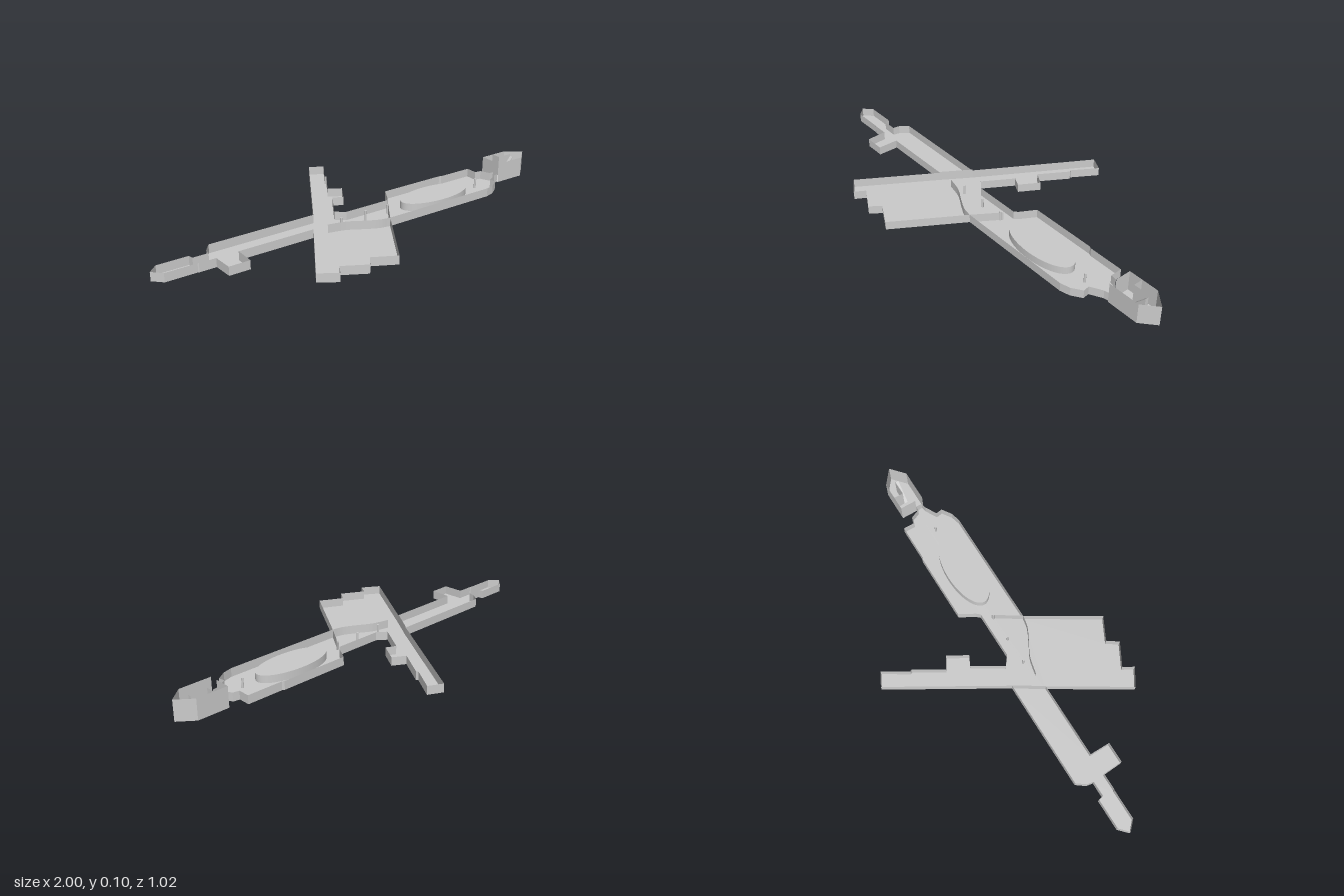
import * as THREE from 'three';

const FLOOR = 0.005, WALL = 0.045, HEAD = 0.1;
const sheet = new THREE.MeshStandardMaterial({ color: 0xcccccc, side: THREE.DoubleSide });
const solid = new THREE.MeshStandardMaterial({ color: 0xcccccc });

// Ground-plan outline: [x, z] corners, starting at the left tip, along the back.
const hull = [
  [-1, 0.065], [-0.96, 0.027], [-0.82, 0.027], [-0.815, 0.05], [-0.745, 0.05], [-0.74, 0.02],
  [-0.71, -0.02], [-0.205, -0.02],
  // rear arm
  [0.09, -0.515], [0.155, -0.482], [0.085, -0.37], [0.09, -0.36], [0.01, -0.23], [0.068, -0.197],
  [0.015, -0.108], [-0.03, -0.13], [-0.112, 0.005],
  // wide hall
  [-0.07, 0.037], [0.155, 0.037], [0.17, 0.02], [0.21, -0.05], [0.535, -0.05], [0.545, -0.045], [0.715, -0.045],
  [0.715, 0.01], [0.745, 0.015], [0.765, 0.06], [0.785, 0.06], [0.785, 0.09], [0.76, 0.095],
  [0.705, 0.125], [0.71, 0.155], [0.665, 0.185], [0.62, 0.197], [0.05, 0.197],
  // front arm with stepped end
  [-0.14, 0.505], [-0.245, 0.45], [-0.28, 0.5], [-0.385, 0.442], [-0.413, 0.49], [-0.492, 0.44],
  // left passage with side room
  [-0.285, 0.105], [-0.64, 0.105], [-0.64, 0.2], [-0.735, 0.2], [-0.74, 0.107], [-0.815, 0.107],
  [-0.82, 0.105], [-0.96, 0.105],
];
const headPlan = [
  [0.785, -0.015], [0.93, -0.015], [1, 0.04], [0.935, 0.097], [0.785, 0.097],
];

function add(group, name, geometry, material) {
  const mesh = new THREE.Mesh(geometry, material);
  mesh.name = name;
  group.add(mesh);
  return mesh;
}

// Thin vertical walls along a path on the plan.
function wallGeometry(path, top, closed = false) {
  const pos = [];
  const count = closed ? path.length : path.length - 1;
  for (let i = 0; i < count; i++) {
    const [ax, az] = path[i];
    const [bx, bz] = path[(i + 1) % path.length];
    pos.push(ax, FLOOR, az, ax, top, az, bx, top, bz);
    pos.push(ax, FLOOR, az, bx, top, bz, bx, FLOOR, bz);
  }
  const g = new THREE.BufferGeometry();
  g.setAttribute('position', new THREE.Float32BufferAttribute(pos, 3));
  g.computeVertexNormals();
  return g;
}

// Flat floor filling a plan outline.
function floorGeometry(path) {
  const shape = new THREE.Shape(path.map(([x, z]) => new THREE.Vector2(x, -z)));
  return new THREE.ShapeGeometry(shape).rotateX(-Math.PI / 2).translate(0, FLOOR, 0);
}

export function createModel() {
  const model = new THREE.Group();
  model.name = 'floorPlan';

  add(model, 'floor', floorGeometry(hull), sheet);
  add(model, 'outerWalls', wallGeometry(hull, WALL, true), sheet);

  // Inner walls where the arms cross the main passage
  add(model, 'crossingWall', wallGeometry([[-0.285, 0.105], [-0.205, -0.02]], 0.05), sheet);
  add(model, 'hallDivider', wallGeometry([[0.05, 0.197], [0.13, 0.075]], WALL), sheet);
  const curve = new THREE.CatmullRomCurve3(
    [[-0.21, 0.1], [-0.13, 0.12], [-0.065, 0.155], [0, 0.187], [0.05, 0.197]]
      .map(([x, z]) => new THREE.Vector3(x, 0, z)));
  add(model, 'curvedWall', wallGeometry(curve.getPoints(16).map(p => [p.x, p.z]), WALL), sheet);

  // Oval platform in the wide hall
  const oval = new THREE.CylinderGeometry(1, 1, 0.04, 64);
  oval.scale(0.185, 1, 0.08).translate(0.387, 0.02, 0.085);
  add(model, 'ovalPlatform', oval, solid);

  // Slim posts along the centre line
  for (const x of [-0.13, 0, 0.122, 0.645]) {
    const post = new THREE.CylinderGeometry(0.005, 0.005, 0.045, 10);
    add(model, 'post', post, solid).position.set(x, 0.0275, 0.085);
  }

  // Tall end room with an inner partition and a narrow ramp
  const room = new THREE.Group();
  room.name = 'endRoom';
  add(room, 'roomFloor', floorGeometry(headPlan), sheet);
  add(room, 'roomWalls', wallGeometry(headPlan, HEAD), sheet);
  add(room, 'roomEndWall', wallGeometry([[0.785, -0.015], [0.785, 0.06]], HEAD), sheet);
  add(room, 'partition', wallGeometry([[0.85, -0.015], [0.85, 0.03], [0.925, 0.03]], HEAD), sheet);
  const ramp = new THREE.Shape([[0.85, FLOOR], [0.925, FLOOR], [0.925, 0.09]]
    .map(([x, y]) => new THREE.Vector2(x, y)));
  const rampGeometry = new THREE.ExtrudeGeometry(ramp, { depth: 0.016, bevelEnabled: false });
  add(room, 'ramp', rampGeometry.translate(0, 0, 0.031), solid);
  model.add(room);

  return model;
}
